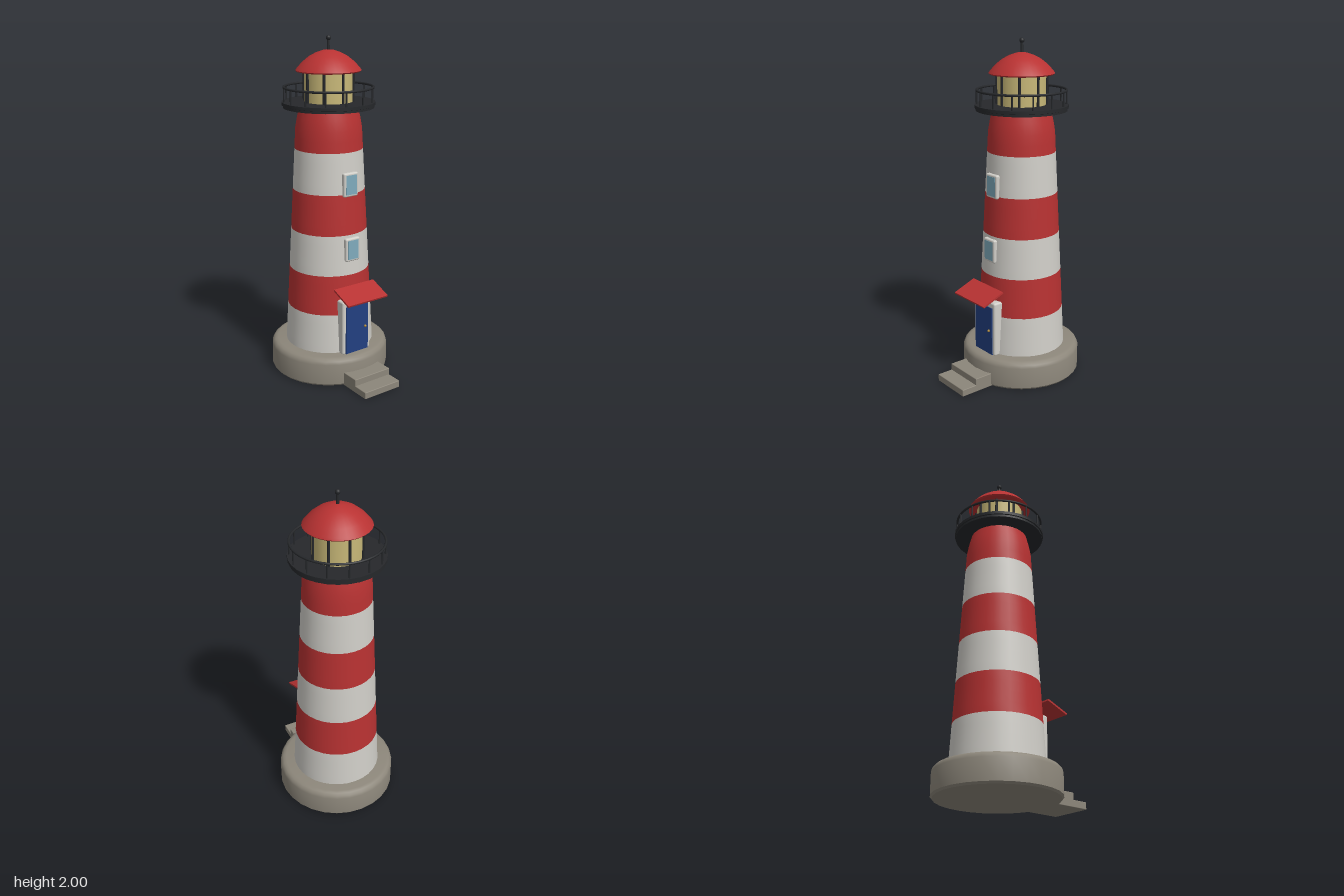
import * as THREE from 'three';
import { toCreasedNormals } from 'three/addons/utils/BufferGeometryUtils.js';
import { RoundedBoxGeometry } from 'three/addons/geometries/RoundedBoxGeometry.js';

const mat = (color, side = THREE.FrontSide) => new THREE.MeshStandardMaterial({ color, side });

export function createModel() {
  const model = new THREE.Group();
  const red = mat(0xb83232), white = mat(0xd0cec8), stone = mat(0x8c867a), black = mat(0x26282b);
  const blue = mat(0x223f80), pane = mat(0x7fabbd), lamp = mat(0xc8b878), brass = mat(0xb08a3c);

  const tower = new THREE.Group();
  tower.name = 'tower';
  tower.position.z = -0.09;
  model.add(tower);

  const add = (parent, name, geometry, material, x = 0, y = 0, z = 0) => {
    const mesh = new THREE.Mesh(geometry, material);
    mesh.name = name;
    mesh.position.set(x, y, z);
    parent.add(mesh);
    return mesh;
  };
  const lathe = (points, segments = 32) => toCreasedNormals(
    new THREE.LatheGeometry(points.map(([r, y]) => new THREE.Vector2(r, y)), segments), 0.6);
  // Box given by its extents, optionally rounded
  const box = (name, material, w, y0, y1, z0, z1, round = 0) => {
    const size = [w, y1 - y0, z1 - z0];
    const geometry = round ? new RoundedBoxGeometry(...size, 2, round) : new THREE.BoxGeometry(...size);
    return add(model, name, geometry, material, 0, (y0 + y1) / 2, (z0 + z1) / 2);
  };

  // Stone base with softened rims
  add(tower, 'base', lathe([[0, 0], [0.345, 0], [0.355, 0.012], [0.355, 0.135],
    [0.349, 0.153], [0.336, 0.165], [0.318, 0.17], [0, 0.17]], 28), stone);

  // Striped tower, narrowing faster near the top
  const radius = y => 0.265 - 0.0546 * (y - 0.17) - 0.19 * Math.max(0, y - 1.5);
  const bands = [0.165, 0.405, 0.643, 0.882, 1.121, 1.36, 1.6];
  for (let i = 0; i < 6; i++) {
    const points = [];
    for (let k = 0; k <= 4; k++) {
      const y = THREE.MathUtils.lerp(bands[i], bands[i + 1], k / 4);
      points.push([radius(y), y]);
    }
    add(tower, 'band' + (i + 1), lathe(points), i % 2 ? red : white);
  }

  // Gallery deck and railing
  const gallery = new THREE.Group();
  gallery.name = 'gallery';
  tower.add(gallery);
  add(gallery, 'deck', lathe([[0, 1.595], [0.264, 1.595], [0.264, 1.608], [0.27, 1.61],
    [0.27, 1.628], [0, 1.628]], 28), black);
  const rail = add(gallery, 'handrail', new THREE.TorusGeometry(0.257, 0.007, 8, 40), black, 0, 1.71);
  rail.rotation.x = Math.PI / 2;
  const posts = 14;
  for (let i = 0; i < posts; i++) {
    const a = i / posts * Math.PI * 2;
    add(gallery, 'railPost', new THREE.CylinderGeometry(0.005, 0.005, 0.09, 8), black,
      Math.cos(a) * 0.257, 1.668, Math.sin(a) * 0.257);
  }

  // Lantern room with glazing bars
  const lantern = new THREE.Group();
  lantern.name = 'lantern';
  tower.add(lantern);
  add(lantern, 'lanternGlass', new THREE.CylinderGeometry(0.14, 0.14, 0.18, 24), lamp, 0, 1.715);
  for (let i = 0; i < 8; i++) {
    const a = i / 8 * Math.PI * 2;
    add(lantern, 'glazingBar', new THREE.CylinderGeometry(0.008, 0.008, 0.18, 8), black,
      Math.cos(a) * 0.143, 1.715, Math.sin(a) * 0.143);
  }

  // Domed roof and finial
  add(tower, 'roof', lathe([[0, 1.798], [0.182, 1.798], [0.189, 1.805], [0.182, 1.815],
    [0.15, 1.851], [0.11, 1.883], [0.07, 1.904], [0.03, 1.917], [0, 1.921]]), red);
  add(tower, 'finialRod', new THREE.CylinderGeometry(0.007, 0.009, 0.08, 10), black, 0, 1.945);
  add(tower, 'finialBall', new THREE.SphereGeometry(0.015, 16, 12), black, 0, 1.985);

  // Entrance: frame, door, knob, awning and steps
  box('doorFrame', white, 0.2, 0.165, 0.5, 0.1, 0.192, 0.012);
  box('door', blue, 0.16, 0.168, 0.467, 0.12, 0.198);
  add(model, 'doorKnob', new THREE.SphereGeometry(0.008, 12, 8), brass, 0.056, 0.32, 0.203);
  const awning = add(model, 'awning', new THREE.BoxGeometry(0.284, 0.011, 0.151), red, 0, 0.55, 0.231);
  awning.rotation.x = Math.atan2(0.055, 0.138);
  box('upperStep', stone, 0.252, 0, 0.082, 0.16, 0.35, 0.004);
  box('lowerStep', stone, 0.252, 0, 0.042, 0.16, 0.445, 0.004);

  // Windows on the front
  for (const [y, z] of [[0.796, 0.156], [1.178, 0.136]]) {
    box('windowFrame', white, 0.1, y - 0.07, y + 0.07, z - 0.05, z - 0.002, 0.01);
    box('windowPane', pane, 0.074, y - 0.057, y + 0.057, z - 0.04, z);
  }
  return model;
}
